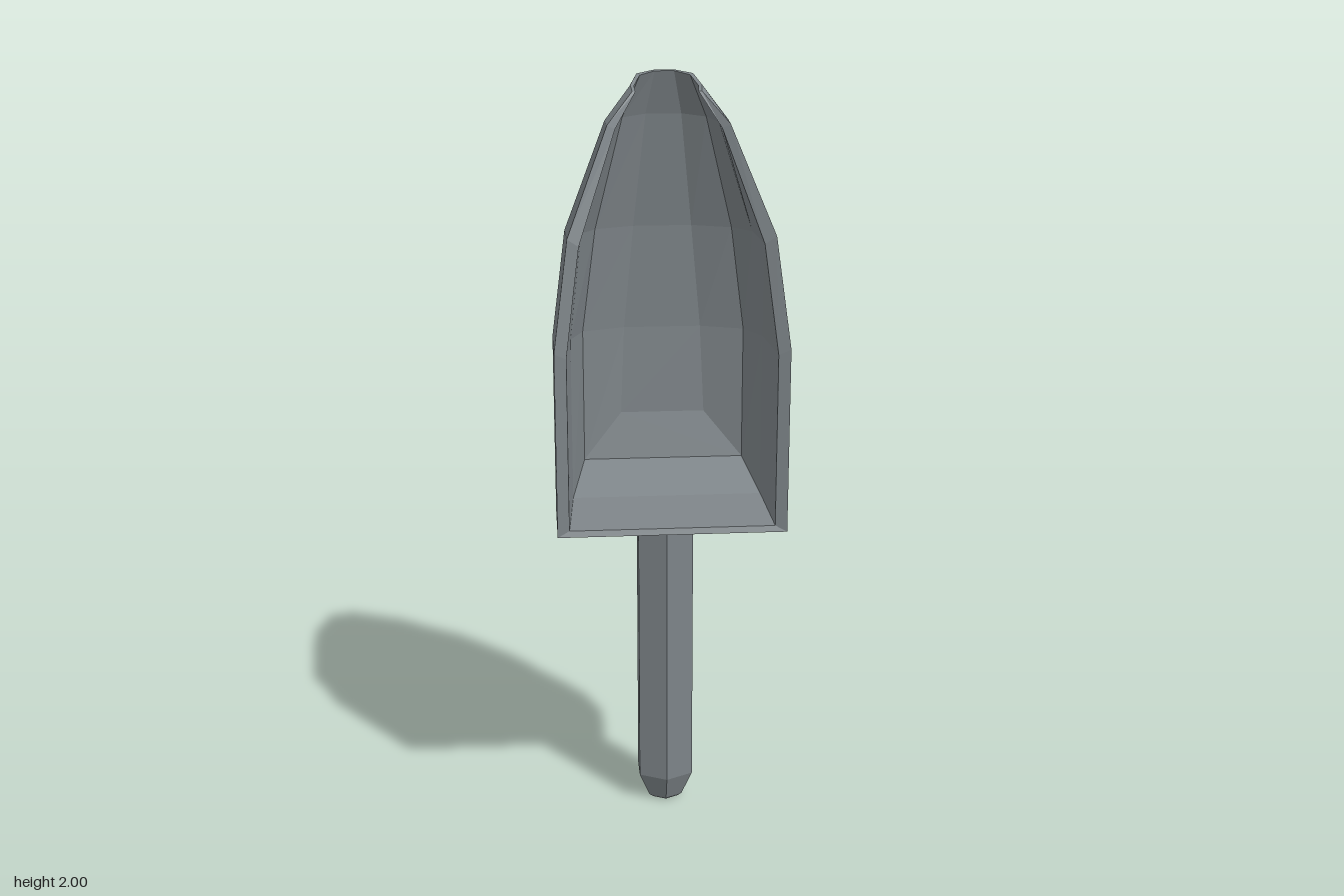
import * as THREE from 'three';

// Each ring lists half of an open U section as [x, y, z], from the front edge to the back.
const outerRings = [
  [[0.29, 0.88, 0.2], [0.29, 0.88, 0], [0.23, 0.878, -0.145], [0.085, 0.876, -0.205]],
  [[0.29, 1.355, 0.2], [0.29, 1.35, 0], [0.23, 1.34, -0.145], [0.085, 1.33, -0.205]],
  [[0.253, 1.63, 0.172], [0.255, 1.62, 0], [0.2, 1.61, -0.13], [0.075, 1.6, -0.183]],
  [[0.15, 1.885, 0.07], [0.152, 1.887, -0.01], [0.125, 1.89, -0.092], [0.048, 1.895, -0.122]],
  [[0.085, 1.958, 0.01], [0.088, 1.97, -0.02], [0.07, 1.993, -0.065], [0.025, 2, -0.085]],
];
const innerRings = [
  [[0.26, 0.895, 0.193], [0.245, 0.918, 0.01], [0.21, 0.98, -0.12], [0.11, 1.1, -0.15]],
  [[0.26, 1.34, 0.193], [0.245, 1.34, 0], [0.21, 1.33, -0.12], [0.1, 1.33, -0.16]],
  [[0.225, 1.61, 0.165], [0.215, 1.61, 0], [0.175, 1.6, -0.11], [0.075, 1.6, -0.15]],
  [[0.13, 1.875, 0.062], [0.13, 1.88, -0.01], [0.105, 1.885, -0.08], [0.045, 1.89, -0.108]],
  [[0.077, 1.957, 0.01], [0.079, 1.968, -0.02], [0.062, 1.99, -0.057], [0.024, 1.998, -0.076]],
];

const mirrorRing = (half) => [...half, ...half.map(([x, y, z]) => [-x, y, z]).reverse()];

function scoopGeometry() {
  const outer = outerRings.map(mirrorRing);
  const inner = innerRings.map(mirrorRing);
  const positions = [];
  const quad = (a, b, c, d) => [a, b, c, a, c, d].forEach((p) => positions.push(...p));

  // Outer wall, top lip and inner wall as one continuous loft
  const rows = [...outer, ...[...inner].reverse()];
  for (let r = 0; r < rows.length - 1; r++) {
    for (let c = 0; c < 7; c++) {
      quad(rows[r][c], rows[r][c + 1], rows[r + 1][c + 1], rows[r + 1][c]);
    }
  }

  // Sloping floor inside and flat underside
  const floor = inner[0], base = outer[0];
  for (let c = 0; c < 3; c++) {
    quad(floor[c], floor[c + 1], floor[6 - c], floor[7 - c]);
    quad(base[c], base[7 - c], base[6 - c], base[c + 1]);
  }

  // Front rim: two sides and the bottom lip
  for (let r = 0; r < outer.length - 1; r++) {
    quad(inner[r][0], outer[r][0], outer[r + 1][0], inner[r + 1][0]);
    quad(outer[r][7], inner[r][7], inner[r + 1][7], outer[r + 1][7]);
  }
  quad(base[7], base[0], floor[0], floor[7]);

  const geometry = new THREE.BufferGeometry();
  geometry.setAttribute('position', new THREE.Float32BufferAttribute(positions, 3));
  geometry.computeVertexNormals();
  return geometry;
}

function handleGeometry() {
  // Six-sided rod with a tapered end
  const profile = [[0, 0], [0.034, 0], [0.045, 0.01], [0.073, 0.08], [0.073, 0.879]];
  const lathe = new THREE.LatheGeometry(profile.map(([r, y]) => new THREE.Vector2(r, y)), 6);
  lathe.scale(1.15, 1, 1);
  const geometry = lathe.toNonIndexed();
  geometry.computeVertexNormals();
  return geometry;
}

export function createModel() {
  const group = new THREE.Group();
  group.name = 'scoop';
  const metal = new THREE.MeshStandardMaterial({ color: 0x7d8488 });
  metal.name = 'grey metal';

  const bowl = new THREE.Mesh(scoopGeometry(), metal);
  bowl.name = 'bowl';
  const handle = new THREE.Mesh(handleGeometry(), metal);
  handle.name = 'handle';
  handle.position.z = -0.068;
  group.add(bowl, handle);
  return group;
}
